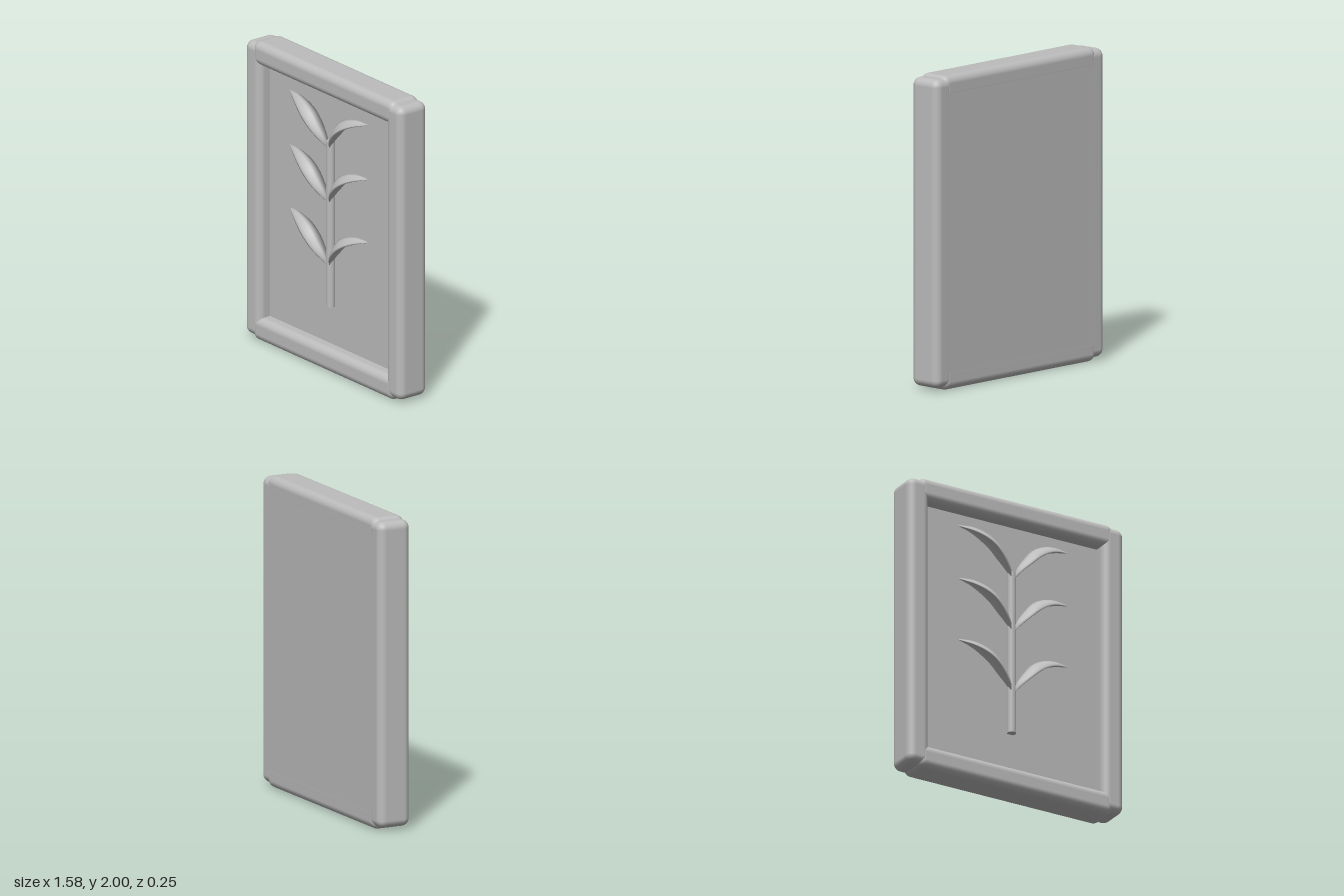
import * as THREE from 'three';
import { RoundedBoxGeometry } from 'three/addons/geometries/RoundedBoxGeometry.js';

const grey = new THREE.MeshStandardMaterial({ color: 0xbcbcbc });
grey.name = 'plain grey';

function addMesh(parent, name, geometry, x, y, z) {
  const mesh = new THREE.Mesh(geometry, grey);
  mesh.name = name;
  mesh.position.set(x, y, z);
  parent.add(mesh);
  return mesh;
}

const curve = (pts) =>
  new THREE.CatmullRomCurve3(pts.map(([x, y]) => new THREE.Vector3(x, y, 0)));

// Upper and lower edges of a left-hand leaf, measured from its foot
const upperEdge = curve([[0.004, 0.01], [0.022, 0.07], [0.065, 0.14], [0.125, 0.212], [0.2, 0.257], [0.295, 0.281], [0.394, 0.277]]);
const lowerEdge = curve([[0.01, 0], [0.05, 0.05], [0.105, 0.105], [0.165, 0.16], [0.23, 0.205], [0.31, 0.243], [0.394, 0.27]]);

// Arched leaf: its face slopes from a low upper edge to a raised lower edge.
// Every cross-section has the same few points: the face, then the underside.
function leafGeometry(side) {
  const steps = 24, facePoints = 7;
  const positions = [], index = [];
  const sides = facePoints + 1;
  for (let i = 0; i <= steps; i++) {
    const t = i / steps;
    const up = upperEdge.getPoint(t), low = lowerEdge.getPoint(t);
    const arch = 0.077 * Math.sin(Math.PI * t);
    const add = (f, z) => {
      const p = up.clone().lerp(low, f);
      positions.push(side * p.x, p.y, z);
    };
    for (let j = 0; j < facePoints; j++) {
      const f = j / (facePoints - 1);
      add(f, 0.048 + arch * (0.3 + 0.7 * Math.sin((f * Math.PI) / 2)));
    }
    add(0.6, 0.04 - 0.03 * Math.sin(Math.PI * t));
  }
  const tri = (a, b, c) => (side > 0 ? index.push(a, b, c) : index.push(a, c, b));
  for (let i = 0; i < steps; i++) {
    for (let j = 0; j < sides; j++) {
      const a = i * sides + j, b = i * sides + ((j + 1) % sides);
      tri(a, b, a + sides);
      tri(b, b + sides, a + sides);
    }
  }
  // Close the foot and the tip
  const last = steps * sides;
  for (let j = 1; j < sides - 1; j++) {
    tri(0, j + 1, j);
    tri(last, last + j, last + j + 1);
  }
  const geometry = new THREE.BufferGeometry();
  geometry.setAttribute('position', new THREE.Float32BufferAttribute(positions, 3));
  geometry.setIndex(index);
  geometry.computeVertexNormals();
  return geometry;
}

export function createModel() {
  const model = new THREE.Group();
  model.name = 'framedLeafPanel';

  // Rounded frame bars
  const frame = new THREE.Group();
  frame.name = 'frame';
  model.add(frame);
  const sideBar = new RoundedBoxGeometry(0.153, 1.965, 0.226, 4, 0.05);
  const crossBar = new RoundedBoxGeometry(1.424, 0.155, 0.226, 4, 0.05);
  addMesh(frame, 'leftBar', sideBar, 0.711, 1.0025, -0.011);
  addMesh(frame, 'rightBar', sideBar, -0.711, 1.0025, -0.011);
  addMesh(frame, 'topBar', crossBar, 0, 1.9225, -0.011);
  addMesh(frame, 'bottomBar', crossBar, 0, 0.0775, -0.011);

  // Panel, recessed at the front and flush at the back
  addMesh(model, 'panel', new THREE.BoxGeometry(1.36, 1.78, 0.136), 0, 1, -0.0555);

  // Plant relief
  const plant = new THREE.Group();
  plant.name = 'plant';
  model.add(plant);
  addMesh(plant, 'stem', new THREE.CylinderGeometry(0.029, 0.029, 1.11, 20), 0, 0.97, 0.032);
  const leaves = { 1: leafGeometry(1), '-1': leafGeometry(-1) };
  for (const y of [0.69, 1.112, 1.477]) {
    for (const side of [1, -1]) {
      addMesh(plant, side > 0 ? 'leftLeaf' : 'rightLeaf', leaves[side], 0, y, 0);
    }
  }
  return model;
}
